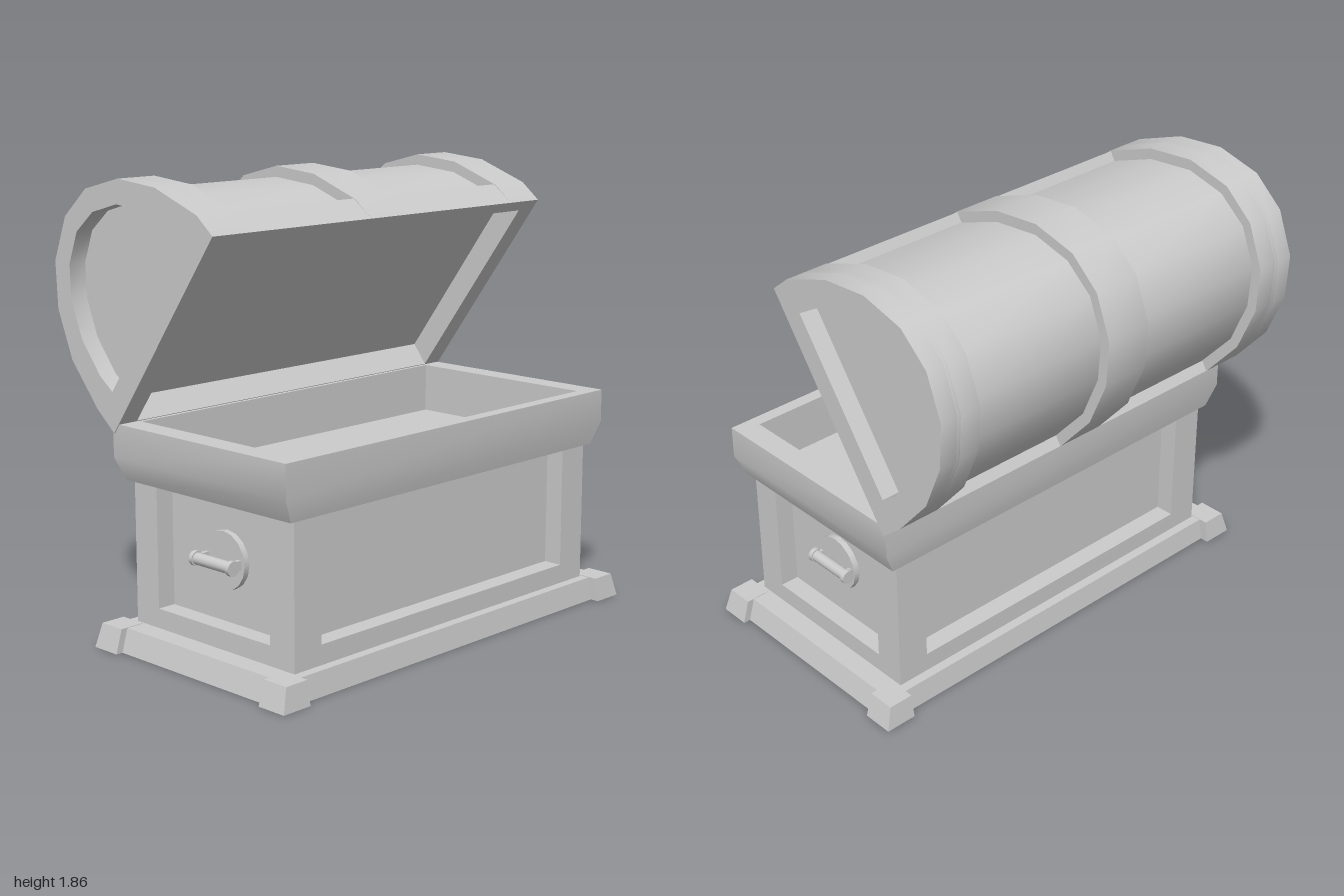
import * as THREE from 'three';
import { toCreasedNormals } from 'three/addons/utils/BufferGeometryUtils.js';

const grey = new THREE.MeshStandardMaterial({ color: 0xcccccc });

function add(parent, name, geometry, x = 0, y = 0, z = 0) {
  const mesh = new THREE.Mesh(geometry, grey);
  mesh.name = name;
  mesh.position.set(x, y, z);
  parent.add(mesh);
  return mesh;
}

// Stacked rectangles [y, x0, x1, z0, z1], capped at the first and last ring
function rectLoft(rings) {
  const pos = [], idx = [];
  for (const [y, x0, x1, z0, z1] of rings) pos.push(x0, y, z1, x1, y, z1, x1, y, z0, x0, y, z0);
  for (let r = 0; r < rings.length - 1; r++) {
    for (let i = 0; i < 4; i++) {
      const a = r * 4 + i, b = r * 4 + (i + 1) % 4;
      idx.push(a, b, b + 4, a, b + 4, a + 4);
    }
  }
  const t = (rings.length - 1) * 4;
  idx.push(0, 2, 1, 0, 3, 2, t, t + 1, t + 2, t, t + 2, t + 3);
  const g = new THREE.BufferGeometry();
  g.setAttribute('position', new THREE.Float32BufferAttribute(pos, 3));
  g.setIndex(idx);
  return toCreasedNormals(g, 0.6);
}

const centred = rows => rectLoft(rows.map(([y, hx, hz]) => [y, -hx, hx, -hz, hz]));
const toPoints = list => list.map(([x, y]) => new THREE.Vector2(x, y));

// Slice of the lid between two z values
function slice(parent, name, points, z0, z1, hole) {
  const shape = new THREE.Shape(points);
  if (hole) shape.holes.push(new THREE.Path(hole));
  const g = new THREE.ExtrudeGeometry(shape, { depth: z1 - z0, bevelEnabled: false });
  add(parent, name, toCreasedNormals(g, 0.6), 0, 0, z0);
}

function createBase() {
  const base = new THREE.Group();
  base.name = 'base';
  base.position.x = 0.135;

  // Plinth with four corner feet
  add(base, 'plinth', centred([[0, 0.5, 0.97], [0.095, 0.485, 0.942]]));
  for (const sx of [-1, 1]) {
    for (const sz of [-1, 1]) {
      const ring = (y, x, z) => [y,
        ...[sx * 0.405, sx * x].sort((a, b) => a - b),
        ...[sz * 0.865, sz * z].sort((a, b) => a - b)];
      add(base, 'cornerFoot', rectLoft([ring(0, 0.537, 1), ring(0.097, 0.522, 0.972)]));
      add(base, 'cornerPost', new THREE.BoxGeometry(0.13, 0.6, 0.14), sx * 0.38, 0.385, sz * 0.785);
    }
  }

  // Recessed panels framed by the posts and a bottom rail
  add(base, 'panels', new THREE.BoxGeometry(0.73, 0.6, 1.55), 0, 0.385, 0);
  add(base, 'bottomRail', new THREE.BoxGeometry(0.89, 0.125, 1.71), 0, 0.1125, 0);

  // Hollow flared rim with the inner floor
  add(base, 'rim', centred([
    [0.675, 0.46, 0.885], [0.77, 0.48, 0.928], [0.905, 0.48, 0.928],
    [0.905, 0.425, 0.83], [0.7, 0.425, 0.83],
  ]));

  // A handle on each end
  for (const end of [1, -1]) {
    const handle = new THREE.Group();
    handle.name = end > 0 ? 'frontHandle' : 'backHandle';
    handle.position.set(0.005, 0.425, end * 0.775);
    if (end < 0) handle.rotation.y = Math.PI;
    base.add(handle);
    const reach = end > 0 ? 0.075 : 0.05;
    add(handle, 'handlePlate', new THREE.CylinderGeometry(0.117, 0.117, 0.03, 16), 0, 0, 0.01).rotation.x = Math.PI / 2;
    add(handle, 'handleBar', new THREE.CylinderGeometry(0.024, 0.024, 0.2, 12), 0, 0, reach).rotation.z = Math.PI / 2;
    for (const s of [-1, 1]) {
      add(handle, 'handleKnob', new THREE.CylinderGeometry(0.03, 0.03, 0.018, 12), s * 0.102, 0, reach).rotation.z = Math.PI / 2;
      add(handle, 'handleArm', new THREE.BoxGeometry(0.018, 0.04, reach), s * 0.09, 0, reach / 2);
    }
  }
  return base;
}

function createLid() {
  const lid = new THREE.Group();
  lid.name = 'lid';
  const tip = new THREE.Vector2(0.25, 1.68), heel = new THREE.Vector2(-0.335, 0.867);

  // Arched outline of the bands, from the tip round to the hinge
  const arch = toPoints([
    [0.165, 1.75], [-0.065, 1.835], [-0.28, 1.855], [-0.475, 1.805], [-0.605, 1.69],
    [-0.675, 1.51], [-0.665, 1.32], [-0.585, 1.125], [-0.435, 0.95],
  ]);
  // Lower barrel surface between the bands, with a rail left at each edge
  const barrel = toPoints([
    [0.157, 1.752], [0.135, 1.715], [-0.07, 1.79], [-0.28, 1.81], [-0.45, 1.766], [-0.57, 1.665],
    [-0.633, 1.505], [-0.622, 1.33], [-0.548, 1.148], [-0.405, 0.985], [-0.43, 0.946],
  ]);
  // Recess in each end of the lid
  const endPanel = toPoints([
    [0.1, 1.635], [-0.01, 1.7], [-0.14, 1.743], [-0.29, 1.758], [-0.435, 1.718], [-0.535, 1.635],
    [-0.585, 1.505], [-0.58, 1.365], [-0.52, 1.215], [-0.415, 1.085], [-0.34, 1.03],
  ]);
  // Hollow cut into the flat underside
  const u = tip.clone().sub(heel).normalize(), n = new THREE.Vector2(-u.y, u.x);
  const at = (p, along, deep) => p.clone().addScaledVector(u, along).addScaledVector(n, deep);
  const hollow = [at(heel, 0.05, 0), at(heel, 0.08, 0.1), at(tip, -0.08, 0.1), at(tip, -0.05, 0)];

  const solid = [tip, ...arch, heel];
  slice(lid, 'middleBand', [...solid, ...hollow], -0.105, 0.105);
  for (const s of [-1, 1]) {
    const part = (name, points, a, b, hole) =>
      slice(lid, name, points, Math.min(s * a, s * b), Math.max(s * a, s * b), hole);
    part('barrel', [tip, ...barrel, heel, ...hollow], 0.105, 0.75);
    part('endBand', [...solid, ...hollow], 0.75, 0.84);
    part('endPanel', solid, 0.84, 0.855);
    part('endFrame', solid, 0.855, 0.932, endPanel);
  }
  return lid;
}

export function createModel() {
  const model = new THREE.Group();
  model.name = 'openChest';
  model.add(createBase(), createLid());
  return model;
}
